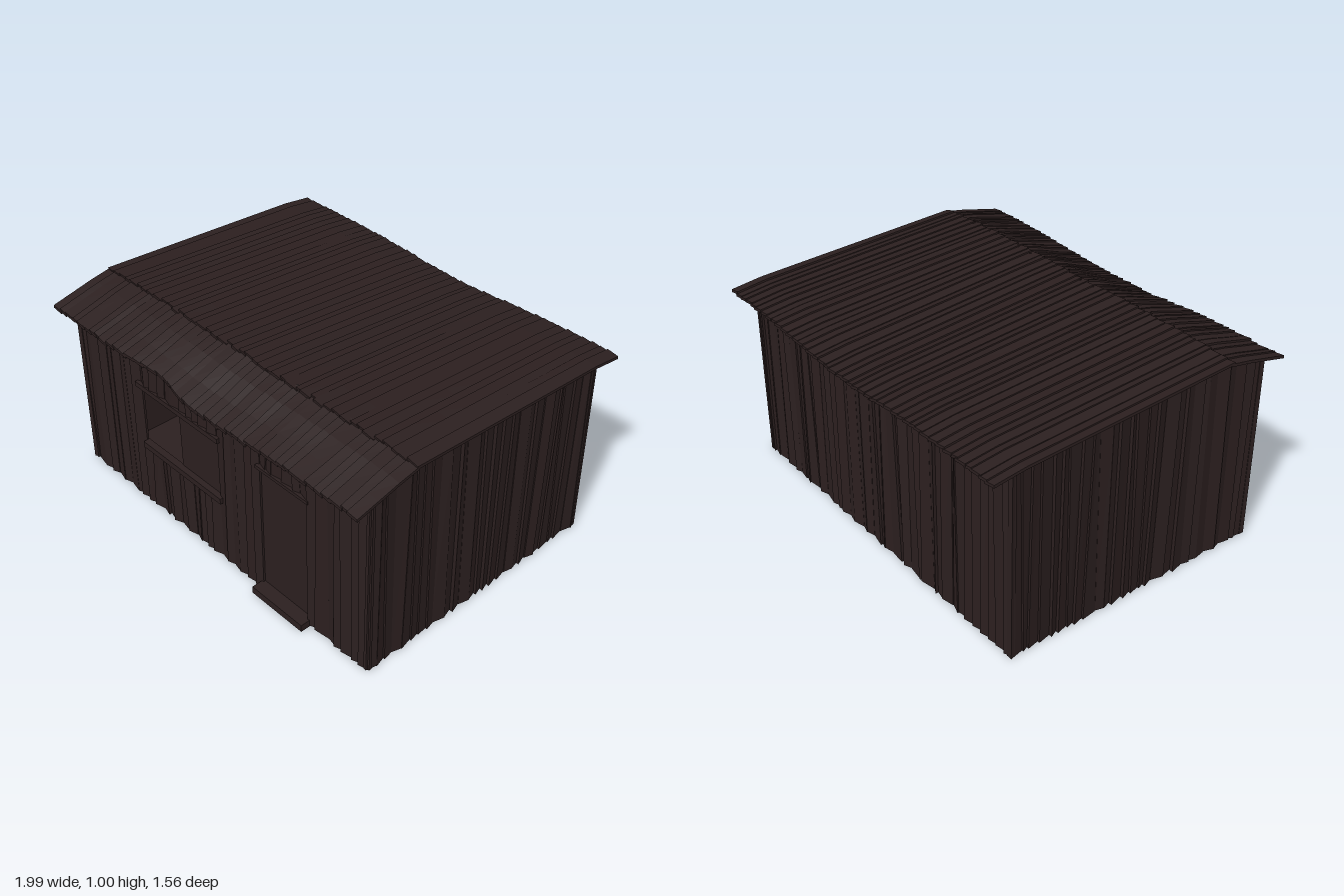
import * as THREE from 'three';
import { mergeGeometries } from 'three/addons/utils/BufferGeometryUtils.js';

const wood = new THREE.MeshStandardMaterial({ color: 0x2b1f1f, flatShading: true });
wood.name = 'dark weathered wood';

// Small seeded random generator
let seed = 7;
const rnd = (a = 0, b = 1) => {
  seed = (seed * 16807) % 2147483647;
  return a + (b - a) * (seed / 2147483647);
};
const lerp = THREE.MathUtils.lerp;

// Roof height: a profile across z, sagging towards the middle of the eaves
const profile = [[-0.8, 0.905], [-0.68, 0.925], [0.47, 0.98], [0.8, 0.902]];
function roofTop(x, z) {
  let i = 0;
  while (i < 2 && z > profile[i + 1][0]) i++;
  const [z0, y0] = profile[i], [z1, y1] = profile[i + 1];
  const y = lerp(y0, y1, (z - z0) / (z1 - z0));
  const ridge = Math.max(0, 1 - Math.abs(z - 0.47) / (z > 0.47 ? 0.25 : 1.1));
  const sag = 0.03 * Math.exp(-(((x - 0.08) / 0.38) ** 2));
  return y - sag * (1 - 0.9 * ridge) + ridge * 0.016 * (1 - x ** 4);
}

// A box whose corners are placed by a rule of (u, v, w), each 0..1
function warpBox(rule, segV = 1, segW = 1) {
  const g = new THREE.BoxGeometry(1, 1, 1, 1, segV, segW);
  const p = g.attributes.position;
  for (let i = 0; i < p.count; i++) p.setXYZ(i, ...rule(p.getX(i) + 0.5, p.getY(i) + 0.5, p.getZ(i) + 0.5));
  g.computeVertexNormals();
  return g;
}

// Each wall maps (distance along, distance outwards) to (x, z)
const walls = {
  frontWall: (a, d) => [a, 0.665 + d],
  backWall: (a, d) => [-a, -0.665 - d],
  rightGable: (a, d) => [0.96 + d, -a],
  leftGable: (a, d) => [-0.96 - d, a],
};

// Row of slightly crooked vertical planks; top null means up to the roof
function plankRow(place, a0, a1, bottom, top, out) {
  const n = Math.max(2, Math.round((a1 - a0) / 0.05));
  const edges = [];
  for (let i = 0; i <= n; i++) {
    const inner = i > 0 && i < n;
    const base = lerp(a0, a1, i / n) + (inner ? rnd(-0.01, 0.01) : 0);
    const lean = inner ? rnd(-0.012, 0.012) : 0;
    edges.push([base - lean, base + lean]);
  }
  for (let i = 0; i < n; i++) {
    const lift = [rnd(0.01, 0.018), rnd(-0.002, 0.004)];
    if (rnd() < 0.3) lift.reverse();
    const drop = bottom === 0 ? rnd(0, 0.004) : 0;
    out.push(warpBox((u, v, w) => {
      const side = edges[i + u];
      const a = lerp(side[0], side[1], v);
      const [x, z] = place(a, w ? lift[u] : -0.012);
      const y1 = top === null ? roofTop(x, z) - 0.012 : top;
      return [x, lerp(bottom + drop, y1, v), z];
    }));
  }
}

// Row of thin overlapping roof planks running from z0 to z1 along the profile
function roofSlope(z0, z1, jag0, jag1, segs, lift, out) {
  const n = 44;
  const edge = Array.from({ length: n + 1 }, (_, i) =>
    lerp(-0.99, 0.99, i / n) + (i > 0 && i < n ? rnd(-0.01, 0.01) : 0));
  for (let i = 0; i < n; i++) {
    const a = z0 + rnd(-jag0, jag0), b = z1 + rnd(-jag1, jag1);
    const tilt = [rnd(0.001, 0.006), rnd(-0.007, -0.002)];
    const skew = i > 0 && i < n - 1 ? rnd(-0.008, 0.008) : 0;
    out.push(warpBox((u, v, w) => {
      const x = edge[i + u] + (u ? 0.006 : -0.006) + skew * (w - 0.5);
      let z = lerp(a, b, w);
      // broken notch in the front eave
      if (w === 1 && z1 > 0.7) z -= 0.03 * Math.max(0, 1 - Math.abs(x + 0.25) / 0.22);
      return [x, roofTop(x, z) + lift + tilt[u] - (v ? 0 : 0.014), z];
    }, 1, segs));
  }
}

export function createModel() {
  seed = 7;
  const model = new THREE.Group();
  model.name = 'woodenShack';
  const add = (name, geometry) => {
    const m = new THREE.Mesh(geometry, wood);
    m.name = name;
    model.add(m);
    return m;
  };
  const box = (name, x0, x1, y0, y1, z0, z1) =>
    add(name, new THREE.BoxGeometry(x1 - x0, y1 - y0, z1 - z0))
      .position.set((x0 + x1) / 2, (y0 + y1) / 2, (z0 + z1) / 2);

  // Plank walls, the front one split around its window and door
  for (const [name, place] of Object.entries(walls)) {
    const parts = [];
    if (name === 'frontWall') {
      plankRow(place, -0.972, -0.51, 0, null, parts);
      plankRow(place, -0.51, 0.03, 0, 0.34, parts);
      plankRow(place, -0.51, 0.03, 0.67, null, parts);
      plankRow(place, 0.03, 0.31, 0, null, parts);
      plankRow(place, 0.31, 0.61, 0.685, null, parts);
      plankRow(place, 0.61, 0.972, 0, null, parts);
    } else {
      const half = name === 'backWall' ? 0.972 : 0.676;
      plankRow(place, -half, half, 0, null, parts);
    }
    add(name, mergeGeometries(parts));
  }

  // Roof slopes, the long back one overlapping the short front one at the ridge
  const front = [], back = [];
  roofSlope(0.45, 0.772, 0, 0.004, 3, -0.002, front);
  roofSlope(-0.778, 0.47, 0.002, 0.01, 8, 0.003, back);
  add('frontRoofSlope', mergeGeometries(front));
  add('backRoofSlope', mergeGeometries(back));

  // Floor
  box('floor', -0.96, 0.96, 0.002, 0.01, -0.665, 0.665);

  // Window boards and the shutter closing its right half
  box('windowLintel', -0.53, 0.05, 0.66, 0.685, 0.65, 0.684);
  box('windowSill', -0.51, 0.05, 0.325, 0.355, 0.65, 0.684);
  box('windowShutter', -0.25, 0.04, 0.34, 0.67, 0.645, 0.655);

  // Door with lintel and doorstep
  box('door', 0.3, 0.62, 0.01, 0.7, 0.645, 0.658);
  box('doorLintel', 0.3, 0.62, 0.682, 0.698, 0.65, 0.684);
  box('doorstep', 0.3, 0.62, 0, 0.036, 0.645, 0.725);

  return model;
}
